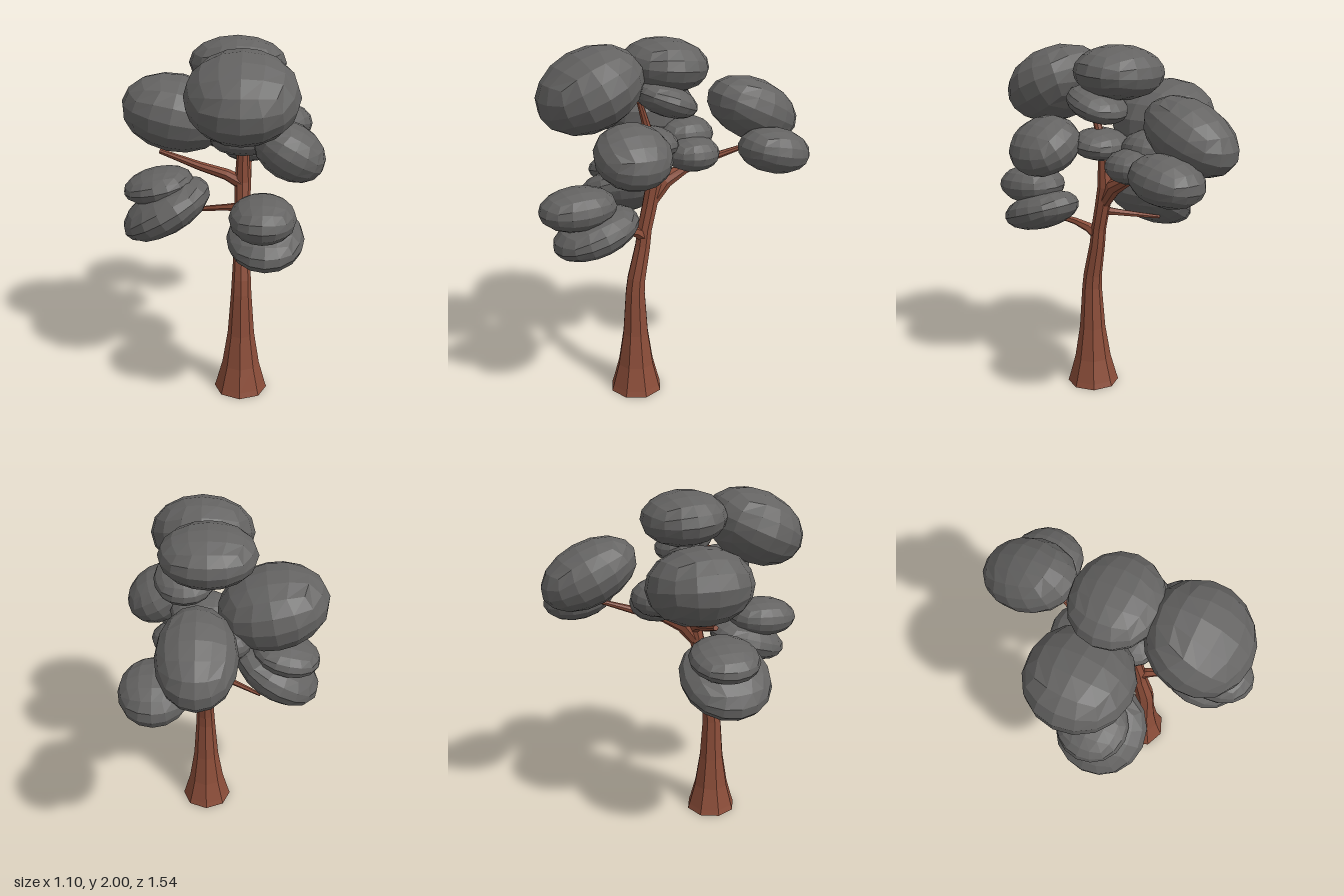
import * as THREE from 'three';

const bark = new THREE.MeshStandardMaterial({ color: 0x8b4d39, flatShading: true });
bark.name = 'bark';
const leaves = new THREE.MeshStandardMaterial({ color: 0x646362, flatShading: true });
leaves.name = 'leaves';

// Tapered limb: rings of `sides` points around a path of [x, y, z, radius]
function limb(name, path, sides = 8, level = false) {
  const pts = path.map(([x, y, z]) => new THREE.Vector3(x, y, z));
  const up = new THREE.Vector3(0, 1, 0);
  const pos = [], index = [];
  pts.forEach((p, i) => {
    const dir = pts[Math.min(i + 1, pts.length - 1)].clone().sub(pts[Math.max(i - 1, 0)]).normalize();
    if (level && i === 0) dir.copy(up);
    const turn = new THREE.Quaternion().setFromUnitVectors(up, dir);
    for (let k = 0; k < sides; k++) {
      const a = (k / sides) * Math.PI * 2;
      const v = new THREE.Vector3(Math.cos(a), 0, Math.sin(a)).multiplyScalar(path[i][3]);
      pos.push(...v.applyQuaternion(turn).add(p).toArray());
    }
  });
  const last = (pts.length - 1) * sides;
  const bottom = pts.length * sides, top = bottom + 1;
  pos.push(...pts[0].toArray(), ...pts[pts.length - 1].toArray());
  for (let k = 0; k < sides; k++) {
    const n = (k + 1) % sides;
    for (let i = 0; i < last; i += sides) {
      const a = i + k, b = i + n;
      index.push(b, a, a + sides, b, a + sides, b + sides);
    }
    index.push(bottom, k, n, top, last + n, last + k);
  }
  const g = new THREE.BufferGeometry();
  g.setAttribute('position', new THREE.Float32BufferAttribute(pos, 3));
  g.setIndex(index);
  g.computeVertexNormals();
  const mesh = new THREE.Mesh(g, bark);
  mesh.name = name;
  return mesh;
}

// Rounded cube: a quad grid pushed out to a unit ball
function ballGeometry() {
  const g = new THREE.BoxGeometry(2, 2, 2, 4, 4, 4);
  const p = g.attributes.position;
  const v = new THREE.Vector3();
  const even = (c) => Math.tan((c * Math.PI) / 4);
  for (let i = 0; i < p.count; i++) {
    v.fromBufferAttribute(p, i);
    v.set(even(v.x), even(v.y), even(v.z)).normalize();
    p.setXYZ(i, v.x, v.y, v.z);
  }
  g.computeVertexNormals();
  return g;
}

export function createModel() {
  const tree = new THREE.Group();
  tree.name = 'tree';

  // Trunk, flared at the foot and swaying backwards
  tree.add(limb('trunk', [
    [0.12, 0, 0.2, 0.15], [0.12, 0.03, 0.2, 0.14], [0.12, 0.16, 0.2, 0.105],
    [0.12, 0.35, 0.2, 0.075], [0.12, 0.6, 0.2, 0.057], [0.12, 0.68, 0.192, 0.053],
    [0.12, 0.87, 0.153, 0.044], [0.12, 0.97, 0.14, 0.042], [0.12, 1.1, 0.11, 0.043],
    [0.12, 1.22, 0.085, 0.045], [0.12, 1.4, 0.095, 0.032], [0.125, 1.52, 0.12, 0.025],
    [0.13, 1.68, 0.17, 0.015],
  ], 8, true));

  // Branches
  tree.add(limb('backBranch', [
    [0.12, 1.12, 0.1, 0.035], [0.12, 1.23, 0.02, 0.045], [0.13, 1.29, -0.09, 0.034],
    [0.15, 1.34, -0.26, 0.022], [0.2, 1.4, -0.45, 0.012],
  ]));
  tree.add(limb('upperRightBranch', [
    [0.12, 1.21, 0.09, 0.04], [0.03, 1.255, 0.08, 0.032],
    [-0.12, 1.295, 0.06, 0.025], [-0.34, 1.37, 0.04, 0.014],
  ]));
  tree.add(limb('lowerRightBranch', [
    [0.12, 1.08, 0.11, 0.028], [0.04, 1.06, 0.07, 0.02],
    [-0.06, 1.035, 0.02, 0.016], [-0.2, 1.0, -0.04, 0.01],
  ], 6));
  tree.add(limb('frontBranch', [
    [0.12, 0.92, 0.14, 0.036], [0.14, 0.965, 0.2, 0.028],
    [0.17, 0.995, 0.28, 0.02], [0.24, 1.03, 0.42, 0.012],
  ], 6));

  // Leaf clusters: name, centre, half sizes, tilt about x, tilt about z (degrees)
  const ball = ballGeometry();
  const clusters = [
    ['crownFront', [0.125, 1.765, 0.44], [0.29, 0.205, 0.29], 25, 0],
    ['crownTop', [0.085, 1.855, 0.01], [0.26, 0.145, 0.235], -4, 0],
    ['crownRight', [-0.255, 1.575, -0.02], [0.3, 0.21, 0.285], 0, -12],
    ['crownBack', [0.13, 1.582, -0.51], [0.205, 0.17, 0.28], -25, 0],
    ['backLower', [0.34, 1.395, -0.53], [0.18, 0.125, 0.205], -11, 0],
    ['leftMiddle', [0.365, 1.46, 0.305], [0.2, 0.145, 0.205], 0, -30],
    ['rightLower', [-0.3, 1.062, 0.115], [0.27, 0.13, 0.255], 0, 30],
    ['rightUpper', [-0.345, 1.192, 0.09], [0.197, 0.092, 0.193], 0, 12],
    ['frontLower', [0.25, 1.043, 0.47], [0.2, 0.11, 0.24], 18, 0],
    ['frontUpper', [0.235, 1.182, 0.56], [0.17, 0.112, 0.207], 3, 0],
    ['innerLow', [0.14, 1.373, -0.135], [0.155, 0.098, 0.15], 0, 0],
    ['innerBack', [0.01, 1.45, -0.15], [0.16, 0.105, 0.163], 0, 0],
    ['innerHigh', [0.21, 1.695, 0.055], [0.165, 0.085, 0.175], -20, 0],
    ['innerFront', [0.12, 1.46, 0.11], [0.18, 0.085, 0.155], -8, 0],
  ];
  const rad = THREE.MathUtils.degToRad;
  for (const [name, at, size, tiltX, tiltZ] of clusters) {
    const m = new THREE.Mesh(ball, leaves);
    m.name = name + 'Leaves';
    m.position.set(...at);
    m.scale.set(...size);
    m.rotation.set(rad(tiltX), 0, rad(tiltZ));
    tree.add(m);
  }
  return tree;
}
